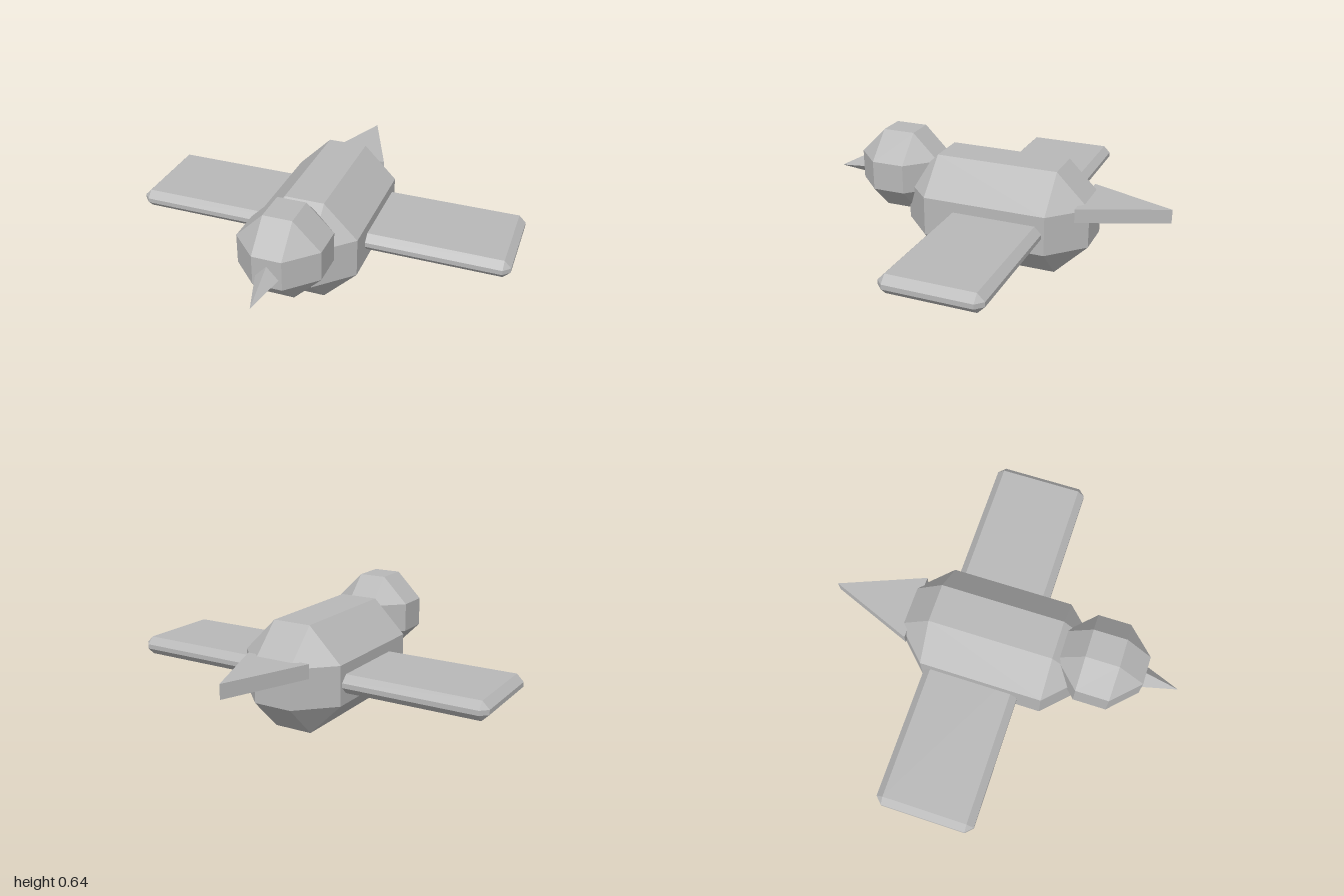
import * as THREE from 'three';
import { ConvexGeometry } from 'three/addons/geometries/ConvexGeometry.js';

const grey = new THREE.MeshStandardMaterial({ color: 0xb8b8b8, flatShading: true });
grey.name = 'plain grey';

// Box with every edge cut at 45 degrees and triangular corners
function chamferedBox(w, h, d, c) {
  const points = [];
  for (const sx of [-1, 1]) for (const sy of [-1, 1]) for (const sz of [-1, 1]) {
    const x = w / 2, y = h / 2, z = d / 2;
    points.push(
      new THREE.Vector3(sx * x, sy * (y - c), sz * (z - c)),
      new THREE.Vector3(sx * (x - c), sy * y, sz * (z - c)),
      new THREE.Vector3(sx * (x - c), sy * (y - c), sz * z));
  }
  return new ConvexGeometry(points);
}

export function createModel() {
  const model = new THREE.Group();
  model.name = 'bird';

  function add(name, geometry, x, y, z) {
    const mesh = new THREE.Mesh(geometry, grey);
    mesh.name = name;
    mesh.position.set(x, y, z);
    model.add(mesh);
    return mesh;
  }

  add('body', chamferedBox(0.55, 0.55, 0.99, 0.173), 0, 0.278, -0.047);
  add('head', chamferedBox(0.42, 0.425, 0.445, 0.137), 0, 0.428, 0.513);

  // Wings, one slab on each side, rooted inside the body
  for (const side of [1, -1]) {
    add(side > 0 ? 'leftWing' : 'rightWing',
      chamferedBox(0.9, 0.096, 0.507, 0.036), side * 0.55, 0.278, -0.102);
  }

  // Four-sided beak, dipping slightly
  const beak = new THREE.ConeGeometry(0.073, 0.24, 4);
  beak.translate(0, -0.12, 0);
  beak.rotateX(Math.PI / 2 + 0.2);
  add('beak', beak, 0, 0.367, 0.92);

  // Flat triangular tail with its point at the back
  const outline = new THREE.Shape();
  outline.moveTo(-0.175, 0.488);
  outline.lineTo(0.175, 0.488);
  outline.lineTo(0, 0.925);
  outline.closePath();
  const tail = new THREE.ExtrudeGeometry(outline, { depth: 0.073, bevelEnabled: false });
  tail.rotateX(-Math.PI / 2);
  add('tail', tail, 0, 0.332, 0);

  return model;
}
